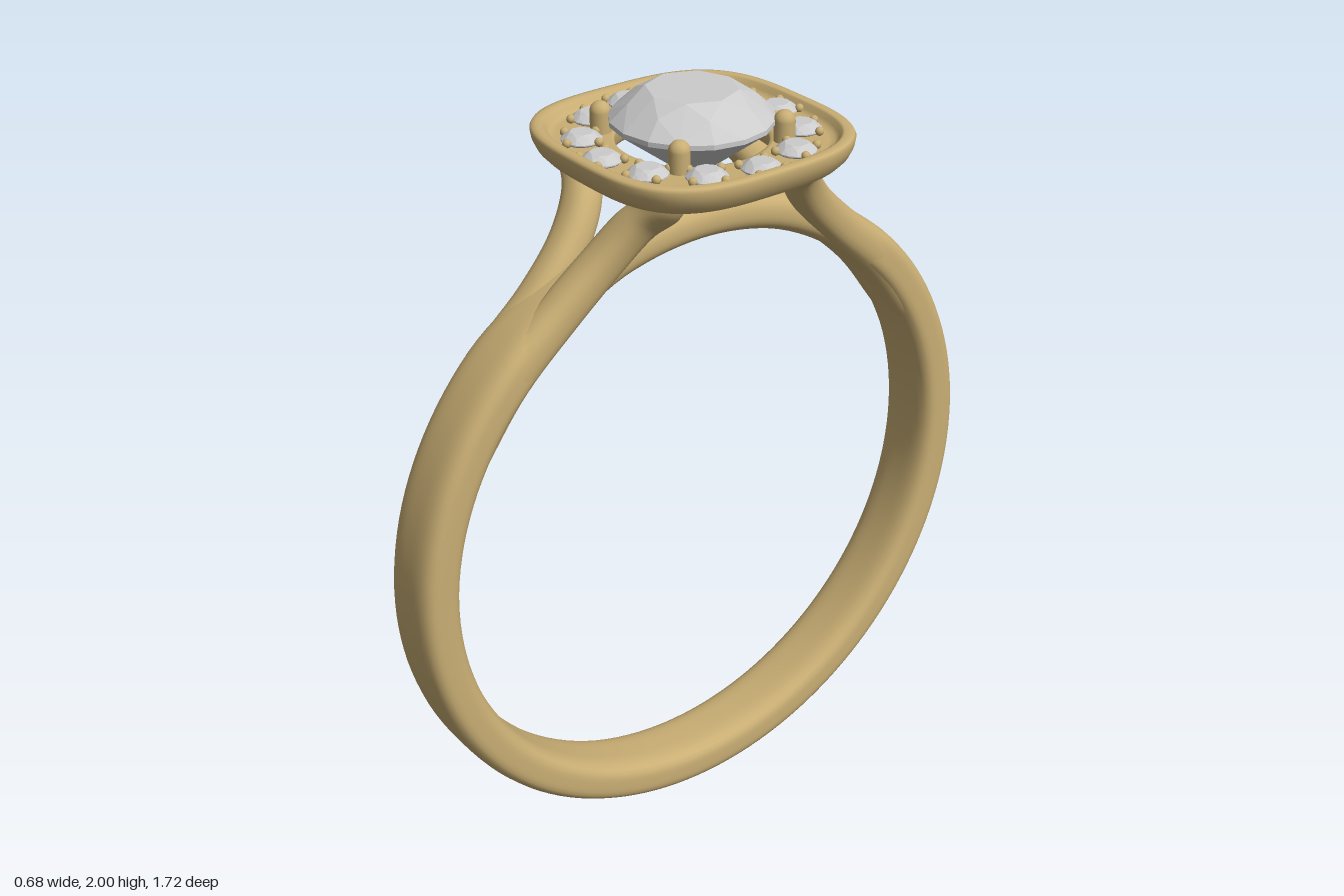
import * as THREE from 'three';
import { ConvexGeometry } from 'three/addons/geometries/ConvexGeometry.js';

const TAU = Math.PI * 2;
const gold = new THREE.MeshStandardMaterial({ color: 0xc9ae74 });
const goldOpen = new THREE.MeshStandardMaterial({ color: 0xc9ae74, side: THREE.DoubleSide });
const stone = new THREE.MeshStandardMaterial({ color: 0xcccccc, flatShading: true });

// Radius of a unit rounded square at angle a (n = 2 is a circle)
const squircle = (a, n) =>
  1 / Math.pow(Math.abs(Math.cos(a)) ** n + Math.abs(Math.sin(a)) ** n, 1 / n);

// Skin a list of equal rings of Vector3 points
function loft(rings, closed) {
  const m = rings[0].length, n = rings.length, index = [];
  for (let i = 0; i < (closed ? n : n - 1); i++)
    for (let j = 0; j < m; j++) {
      const a = i * m + j, b = i * m + (j + 1) % m;
      const c = ((i + 1) % n) * m + j, d = ((i + 1) % n) * m + (j + 1) % m;
      index.push(a, b, c, b, d, c);
    }
  const g = new THREE.BufferGeometry().setFromPoints(rings.flat());
  g.setIndex(index);
  g.computeVertexNormals();
  return g;
}

// One cross-section: half width w along x, half thickness t across the path
function section(centre, tangent, w, t, n, sides = 36) {
  const up = new THREE.Vector3().crossVectors(tangent, new THREE.Vector3(1, 0, 0)).normalize();
  return Array.from({ length: sides }, (_, j) => {
    const a = j / sides * TAU, r = squircle(a, n);
    return centre.clone().addScaledVector(up, r * t * Math.sin(a))
      .add(new THREE.Vector3(r * w * Math.cos(a), 0, 0));
  });
}

function add(parent, name, geometry, material) {
  const mesh = new THREE.Mesh(geometry, material);
  mesh.name = name;
  parent.add(mesh);
  return mesh;
}

// Finger band, narrowing to a slim bridge below the setting
function bandGeometry() {
  const rings = [], steps = 144;
  for (let i = 0; i < steps; i++) {
    const a = i / steps * TAU;
    const fromTop = Math.abs(i / steps > 0.5 ? a - TAU : a) * 180 / Math.PI;
    const s = THREE.MathUtils.smoothstep(fromTop, 16, 46);
    const centre = new THREE.Vector3(0, 0.862 + 0.805 * Math.cos(a), 0.805 * Math.sin(a));
    const tangent = new THREE.Vector3(0, -Math.sin(a), Math.cos(a));
    rings.push(section(centre, tangent, 0.055 + 0.034 * s, 0.05 + 0.006 * s, 2.4 + 1.4 * s));
  }
  return loft(rings, true);
}

// One arm of a split shoulder: x, y, z, half width, half thickness
const armStations = [
  [0.042, 1.25, 0.698, 0.042, 0.05],
  [0.043, 1.42, 0.575, 0.045, 0.054],
  [0.046, 1.56, 0.42, 0.049, 0.05],
  [0.068, 1.665, 0.315, 0.05, 0.047],
  [0.105, 1.75, 0.25, 0.054, 0.045],
  [0.15, 1.8, 0.22, 0.068, 0.044],
  [0.17, 1.85, 0.205, 0.072, 0.045],
];
function armGeometry(sx, sz) {
  const path = new THREE.CatmullRomCurve3(
    armStations.map(([x, y, z]) => new THREE.Vector3(x * sx, y, z * sz)));
  const size = new THREE.CatmullRomCurve3(
    armStations.map(s => new THREE.Vector3(s[3], s[4], 0)));
  const rings = [];
  for (let i = 0; i <= 40; i++) {
    const { x: w, y: t } = size.getPoint(i / 40);
    rings.push(section(path.getPoint(i / 40), path.getTangent(i / 40), w, t, 2.5, 24));
  }
  return loft(rings, false);
}

// Cushion-shaped tray: half size, height, squareness; down the outside, up the hole
const trayProfile = [
  [0.328, 1.905, 3.2], [0.337, 1.903, 3.2], [0.341, 1.895, 3.2], [0.338, 1.875, 3.2],
  [0.328, 1.852, 3.2], [0.312, 1.834, 3.2], [0.293, 1.825, 3.2], [0.27, 1.822, 3.1],
  [0.2, 1.822, 2.2], [0.193, 1.826, 2.1], [0.186, 1.84, 2], [0.183, 1.87, 2],
  [0.186, 1.877, 2], [0.195, 1.879, 2], [0.285, 1.879, 3.2], [0.298, 1.882, 3.2],
  [0.306, 1.89, 3.2], [0.311, 1.902, 3.2], [0.317, 1.905, 3.2],
];
function trayGeometry() {
  return loft(trayProfile.map(([size, y, n]) => Array.from({ length: 96 }, (_, j) => {
    const a = j / 96 * TAU, r = size * squircle(a, n);
    return new THREE.Vector3(r * Math.cos(a), y, r * Math.sin(a));
  })), true);
}

// Round brilliant with unit radius and its girdle at y = 0
function brilliantGeometry() {
  const pts = [new THREE.Vector3(0, -0.77, 0)];
  const ring = (count, r, y, offset) => {
    for (let k = 0; k < count; k++) {
      const a = (k + offset) / count * TAU;
      pts.push(new THREE.Vector3(r * Math.cos(a), y, r * Math.sin(a)));
    }
  };
  ring(8, 0.56, 0.37, 0);     // table
  ring(8, 0.78, 0.235, 0.5);  // star tips
  ring(16, 1, 0.03, 0);       // girdle
  ring(16, 1, -0.03, 0);
  ring(8, 0.26, -0.59, 0.5);  // pavilion
  return new ConvexGeometry(pts);
}

export function createModel() {
  const model = new THREE.Group();
  model.name = 'ring';

  add(model, 'band', bandGeometry(), gold);
  for (const sz of [1, -1])
    for (const sx of [1, -1])
      add(model, `${sz > 0 ? 'front' : 'back'}${sx > 0 ? 'Left' : 'Right'}Shoulder`,
        armGeometry(sx, sz), goldOpen);
  add(model, 'haloTray', trayGeometry(), gold);

  // Centre stone and its four claws
  const brilliant = brilliantGeometry();
  const centre = add(model, 'centreStone', brilliant, stone);
  centre.scale.setScalar(0.2);
  centre.position.y = 1.926;
  const claw = new THREE.CapsuleGeometry(0.026, 0.07, 8, 16);
  for (const sx of [1, -1])
    for (const sz of [1, -1])
      add(model, 'claw', claw, gold).position.set(0.155 * sx, 1.894, 0.155 * sz);

  // Ring of twelve small stones, each held by four beads
  const bead = new THREE.SphereGeometry(0.011, 10, 8);
  for (let i = 0; i < 12; i++) {
    const a = i / 12 * TAU;
    const setting = new THREE.Group();
    setting.name = 'haloSetting';
    setting.position.set(0.262 * Math.cos(a), 1.885, 0.262 * Math.sin(a));
    setting.rotation.y = -a;
    const small = add(setting, 'haloStone', brilliant, stone);
    small.scale.setScalar(0.05);
    for (let k = 0; k < 4; k++) {
      const b = (k + 0.5) / 4 * TAU;
      add(setting, 'bead', bead, gold).position.set(0.053 * Math.cos(b), 0.004, 0.053 * Math.sin(b));
    }
    model.add(setting);
  }
  return model;
}
